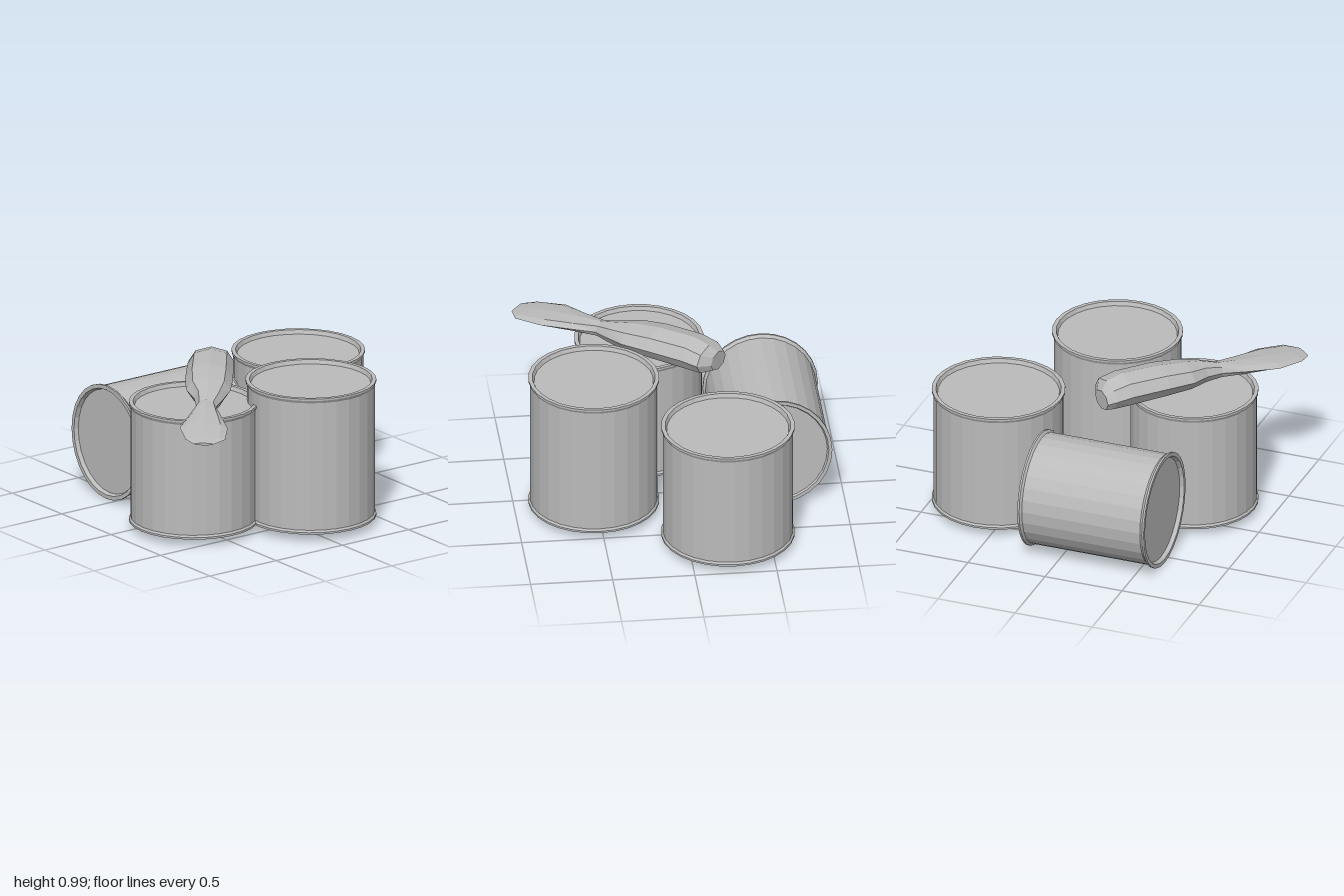
import * as THREE from 'three';

export function createModel() {
  const grey = new THREE.MeshStandardMaterial({ color: 0xbbbbbb, flatShading: true });
  grey.name = 'plain grey';
  const model = new THREE.Group();
  model.name = 'paintCansAndBrush';

  // One tin: rolled rims at both ends, recessed lid and base
  function can(name, radius, height, lip = 0.01) {
    const r = radius, h = height;
    const profile = [
      [0, 0.012], [r - 0.03, 0.012], [r - 0.022, 0], [r, 0], [r, 0.012], [r - lip, 0.024],
      [r - lip, h - 0.03], [r, h - 0.012], [r, h], [r - 0.025, h], [r - 0.035, h - 0.025], [0, h - 0.025],
    ].map(([x, y]) => new THREE.Vector2(x, y));
    const mesh = new THREE.Mesh(new THREE.LatheGeometry(profile, 28), grey);
    mesh.name = name;
    model.add(mesh);
    return mesh;
  }

  // Three standing tins
  can('backCan', 0.405, 0.755).position.set(-0.245, 0.047, -0.595);
  can('tallCan', 0.397, 0.863).position.set(0.52, 0.047, -0.12);
  can('frontCan', 0.393, 0.755).position.set(0.177, 0.047, 0.508);

  // Tin lying on its side, lid facing forward
  const lying = can('lyingCan', 0.36, 0.82, 0.015);
  lying.rotation.x = Math.PI / 2;
  lying.scale.x = 0.975;
  lying.position.set(-0.572, 0.36, -0.21);

  // Brush sections from handle end to tip: x, z, half width, bottom, top
  const sections = [
    [-0.26, 0.08, 0.08, 0.8, 0.92],
    [-0.205, 0.09, 0.135, 0.79, 0.965],
    [-0.12, 0.16, 0.14, 0.785, 0.988],
    [0.08, 0.32, 0.145, 0.785, 0.975],
    [0.22, 0.43, 0.135, 0.785, 0.948],
    [0.32, 0.5, 0.09, 0.785, 0.92],
    [0.4, 0.58, 0.06, 0.79, 0.885],
    [0.52, 0.68, 0.1, 0.79, 0.865],
    [0.67, 0.8, 0.145, 0.79, 0.845],
    [0.82, 0.9, 0.12, 0.788, 0.817],
    [0.87, 0.95, 0.06, 0.788, 0.803],
  ];
  const sides = 8, positions = [], index = [];
  for (const [x, z, w, y0, y1] of sections) {
    for (let j = 0; j < sides; j++) {
      const a = (j / sides) * Math.PI * 2;
      const c = Math.cos(a) * w;
      positions.push(x + 0.64 * c, (y0 + y1) / 2 + Math.sin(a) * (y1 - y0) / 2, z - 0.77 * c);
    }
  }
  for (let i = 0; i < sections.length - 1; i++) {
    for (let j = 0; j < sides; j++) {
      const a = i * sides + j, b = i * sides + (j + 1) % sides;
      index.push(a, b, b + sides, a, b + sides, a + sides);
    }
  }
  // Close both ends
  const last = (sections.length - 1) * sides;
  for (let j = 1; j < sides - 1; j++) {
    index.push(0, j + 1, j, last, last + j, last + j + 1);
  }
  const geometry = new THREE.BufferGeometry();
  geometry.setAttribute('position', new THREE.Float32BufferAttribute(positions, 3));
  geometry.setIndex(index);
  geometry.computeVertexNormals();
  const brush = new THREE.Mesh(geometry, grey);
  brush.name = 'brush';
  model.add(brush);

  return model;
}
